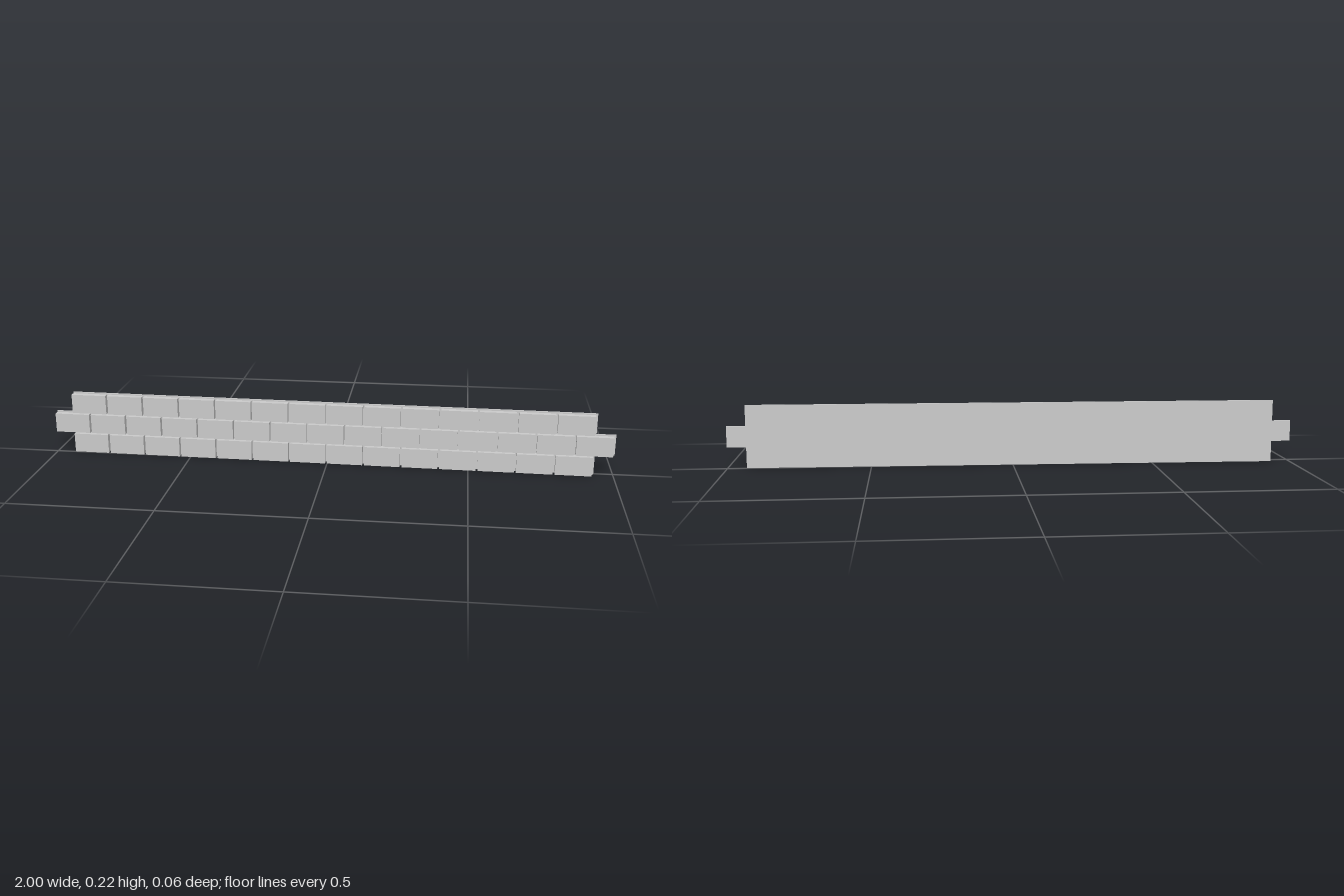
import * as THREE from 'three';

const PITCH = 2 / 15, ROW = 0.0743;      // brick spacing along and up the wall
const GAP_X = 0.007, GAP_Y = 0.005;      // mortar joints
const BACK = -0.0118, PLATE = 0.0055, BRICK = 0.02;

export function createModel() {
  const model = new THREE.Group();
  model.name = 'brickWallStrip';
  const material = new THREE.MeshStandardMaterial({ color: 0xcccccc, flatShading: true });

  // Backing plate with an interlocking tab at each end
  const inner = 1 - PITCH / 2, top = ROW * 3;
  const outline = new THREE.Shape([
    [-inner, 0], [inner, 0], [inner, ROW], [1, ROW], [1, ROW * 2], [inner, ROW * 2],
    [inner, top], [-inner, top], [-inner, ROW * 2], [-1, ROW * 2], [-1, ROW], [-inner, ROW],
  ].map(([x, y]) => new THREE.Vector2(x, y)));
  const plate = new THREE.Mesh(
    new THREE.ExtrudeGeometry(outline, { depth: PLATE, bevelEnabled: false }), material);
  plate.name = 'backingPlate';
  plate.position.z = BACK;
  model.add(plate);

  // Three staggered courses; joints lie to the right of and above each brick
  const brickGeometry = new THREE.BoxGeometry(PITCH - GAP_X, ROW - GAP_Y, BRICK);
  for (let row = 0; row < 3; row++) {
    const course = new THREE.Group();
    course.name = ['bottomCourse', 'middleCourse', 'topCourse'][row];
    const count = row === 1 ? 15 : 14;
    for (let i = 0; i < count; i++) {
      const brick = new THREE.Mesh(brickGeometry, material);
      brick.name = 'brick';
      brick.position.set(
        (i - count / 2) * PITCH + (PITCH - GAP_X) / 2,
        row * ROW + (ROW - GAP_Y) / 2,
        BACK + PLATE + BRICK / 2);
      course.add(brick);
    }
    model.add(course);
  }

  // The strip stands slightly turned
  model.rotation.y = -0.0163;
  const root = new THREE.Group();
  root.name = 'wall';
  root.add(model);
  return root;
}
